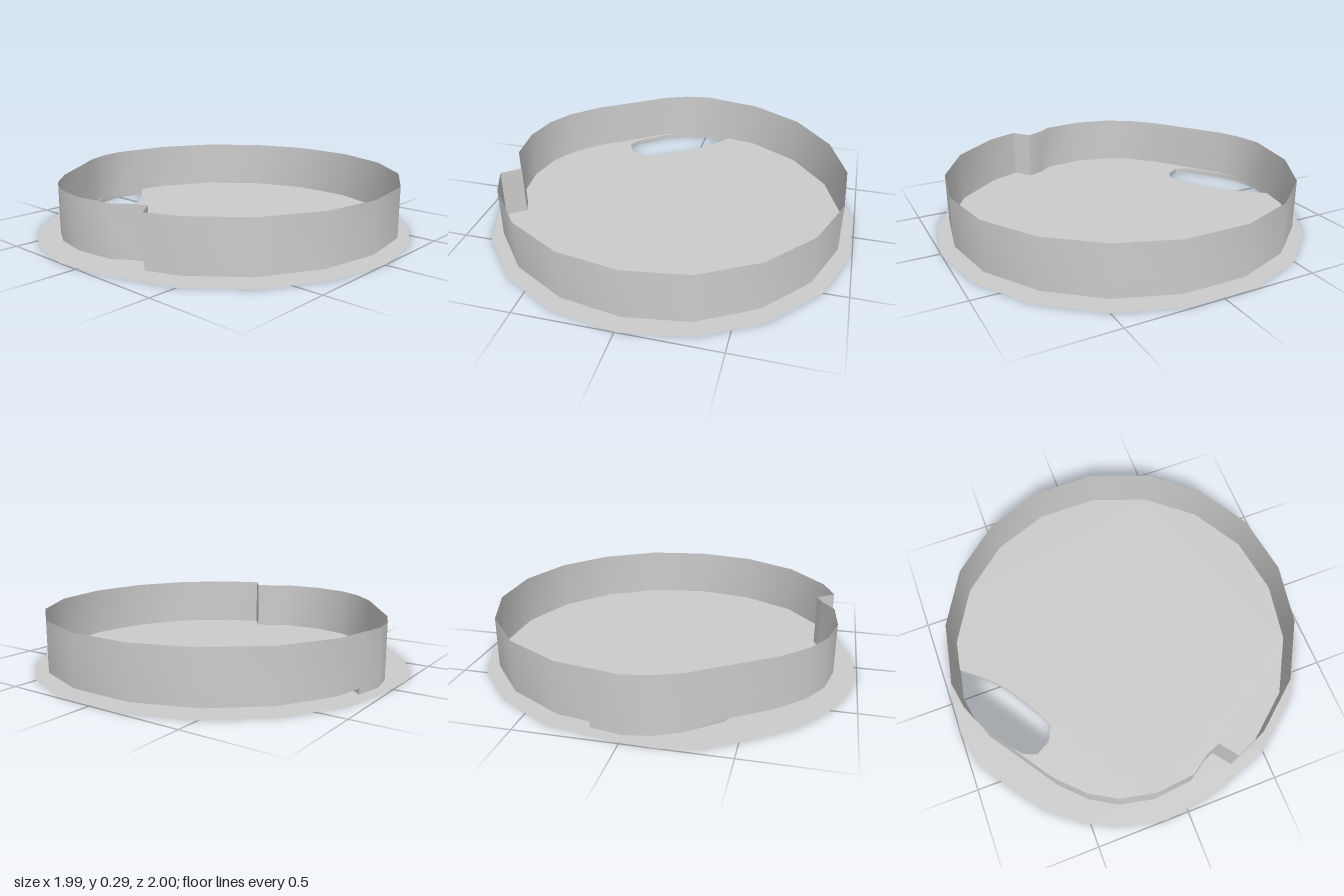
import * as THREE from 'three';
import { toCreasedNormals } from 'three/addons/utils/BufferGeometryUtils.js';

const FLOOR = 0.03, TOP = 0.295;

// Plan outlines as [x, z]
const rim = [
  [-0.17, -1], [0.01, -0.99], [0.355, -0.93], [0.65, -0.755], [0.875, -0.495], [0.99, -0.18], [0.99, 0.18],
  [0.875, 0.5], [0.65, 0.77], [0.355, 0.94], [0.01, 1], [-0.33, 0.94], [-0.625, 0.77], [-0.85, 0.5],
  [-0.965, 0.155], [-1, -0.125], [-0.945, -0.36], [-0.86, -0.53], [-0.73, -0.7], [-0.55, -0.84], [-0.365, -0.96],
];
// Wall, clockwise from the slot corner, with a small inward notch on the right
const wall = [
  [0.165, -0.9], [0.33, -0.87], [0.61, -0.71], [0.815, -0.465], [0.925, -0.165], [0.925, 0.17], [0.815, 0.47],
  [0.61, 0.715], [0.33, 0.88], [0.01, 0.93], [-0.305, 0.875], [-0.59, 0.715], [-0.79, 0.47], [-0.855, 0.305],
  [-0.765, 0.235], [-0.795, 0.16], [-0.86, 0.07], [-0.88, -0.145], [-0.84, -0.33], [-0.76, -0.465],
  [-0.63, -0.595], [-0.44, -0.725], [-0.26, -0.85], [-0.13, -0.905], [0.01, -0.93],
];
// Slot: its back follows the wall, its front cuts into the floor
const slotBack = [[0.165, -0.9], [0.01, -0.93], [-0.13, -0.905], [-0.255, -0.84]];
const slotFront = [
  [-0.41, -0.715], [-0.44, -0.645], [-0.395, -0.565], [-0.32, -0.527], [-0.24, -0.56],
  [-0.045, -0.68], [0.02, -0.735], [0.09, -0.81],
];
const slot = [...slotBack, ...slotFront];

const material = new THREE.MeshStandardMaterial({ color: 0xcccccc, side: THREE.DoubleSide });

function mesh(name, geometry) {
  const m = new THREE.Mesh(geometry, material);
  m.name = name;
  return m;
}

const toShapePoints = (loop) => loop.map(([x, z]) => new THREE.Vector2(x, -z));

// Flat horizontal sheet at height y
function sheet(outline, y, hole) {
  const shape = new THREE.Shape(toShapePoints(outline));
  if (hole) shape.holes.push(new THREE.Path(toShapePoints(hole)));
  return new THREE.ShapeGeometry(shape).rotateX(-Math.PI / 2).translate(0, y, 0);
}

// Closed upright band along a loop
function band(loop, y0, y1) {
  const p = [];
  loop.forEach(([ax, az], i) => {
    const [bx, bz] = loop[(i + 1) % loop.length];
    p.push(ax, y0, az, ax, y1, az, bx, y1, bz, ax, y0, az, bx, y1, bz, bx, y0, bz);
  });
  const g = new THREE.BufferGeometry();
  g.setAttribute('position', new THREE.Float32BufferAttribute(p, 3));
  return toCreasedNormals(g, 0.65);
}

export function createModel() {
  const group = new THREE.Group();
  group.name = 'shallowTray';

  // Underside sheet that projects as a rim
  group.add(mesh('basePlate', sheet(rim, 0, slot)));

  // Inner floor, bounded by the wall and the front edge of the slot
  const floorOutline = [...wall.slice(0, -2), ...slotFront];
  group.add(mesh('innerFloor', sheet(floorOutline, FLOOR)));

  // Sides of the slot between the two sheets
  group.add(mesh('slotSides', band(slot, 0, FLOOR)));

  // Upright wall
  group.add(mesh('wall', band(wall, FLOOR, TOP)));

  return group;
}
